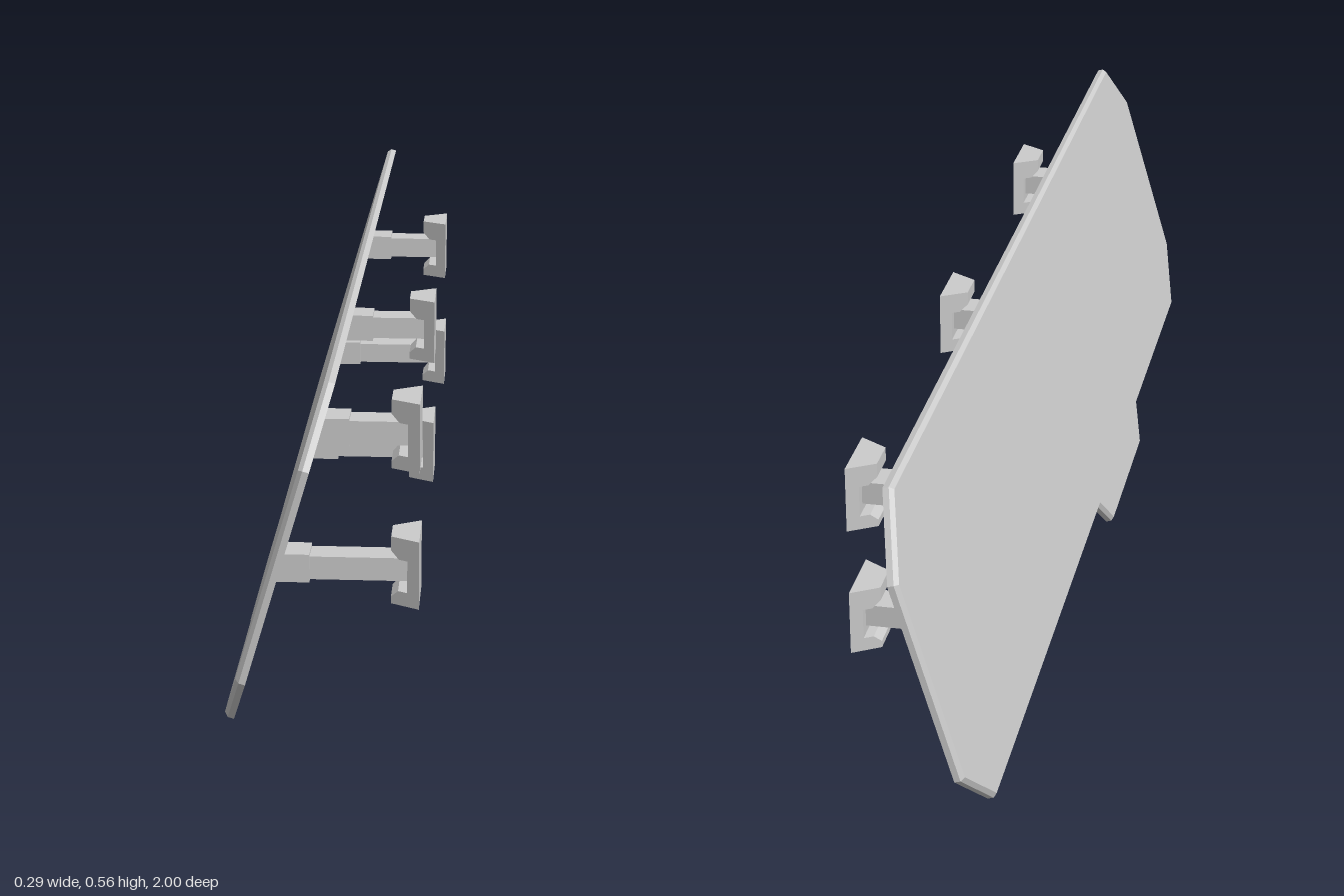
import * as THREE from 'three';

const material = new THREE.MeshStandardMaterial({ color: 0xcccccc, flatShading: true });
const TILT = Math.atan(0.292);

function box(name, x0, x1, height, width) {
  const mesh = new THREE.Mesh(new THREE.BoxGeometry(x1 - x0, height, width), material);
  mesh.position.x = (x0 + x1) / 2;
  mesh.name = name;
  return mesh;
}

// Leaning panel: clipped corners, off-centre tab below, chamfer on the outer face only
function makePanel() {
  const outline = [
    [0.9, 0.057], [1, 0.15], [1, 0.463], [0.9, 0.563],
    [-0.9, 0.563], [-1, 0.463], [-1, 0.15], [-0.9, 0.057],
    [0.01, 0.057], [0.065, 0], [0.375, 0], [0.427, 0.057],
  ];
  const stretch = 0.581 / 0.563;
  const shape = new THREE.Shape(outline.map(([z, y]) => new THREE.Vector2(-z, y * stretch)));
  const chamfer = 0.006, depth = 0.0095;
  const geometry = new THREE.ExtrudeGeometry(shape, {
    depth, bevelEnabled: true, bevelThickness: chamfer, bevelSize: chamfer,
    bevelOffset: -chamfer, bevelSegments: 1,
  });
  // flatten the chamfer on the bracket side
  const p = geometry.attributes.position;
  for (let i = 0; i < p.count; i++) p.setZ(i, Math.min(p.getZ(i), depth) + chamfer);
  geometry.rotateY(Math.PI / 2);
  geometry.rotateZ(-TILT);
  geometry.computeVertexNormals();
  const panel = new THREE.Mesh(geometry, material);
  panel.position.set(-0.145, 0.0045, 0);
  panel.name = 'panel';
  return panel;
}

// Clamp head: C-shaped profile whose width flares toward the mounting face
function makeHead() {
  const profile = [
    [0.1, -0.053], [0.143, -0.053], [0.143, 0.053], [0.1, 0.053],
    [0.1, 0.031], [0.112, 0.019], [0.125, 0.019],
    [0.125, -0.031], [0.111, -0.031], [0.1, -0.042],
  ];
  const shape = new THREE.Shape(profile.map(([x, y]) => new THREE.Vector2(x, y)));
  const geometry = new THREE.ExtrudeGeometry(shape, { depth: 2, bevelEnabled: false });
  geometry.translate(0, 0, -1);
  const p = geometry.attributes.position;
  for (let i = 0; i < p.count; i++) {
    const half = THREE.MathUtils.mapLinear(p.getX(i), 0.1, 0.143, 0.027, 0.053);
    p.setZ(i, p.getZ(i) * half);
  }
  geometry.computeVertexNormals();
  const head = new THREE.Mesh(geometry, material);
  head.name = 'clampHead';
  return head;
}

// Bracket: thick socket on the panel, slimmer arm, clamp head
function makeBracket(y, z, socketEnd) {
  const bracket = new THREE.Group();
  bracket.name = 'bracket';
  bracket.add(
    box('socket', -0.136 + 0.292 * y, socketEnd, 0.044, 0.058),
    box('arm', socketEnd - 0.01, 0.128, 0.036, 0.05),
    makeHead(),
  );
  bracket.position.set(0, y, z);
  return bracket;
}

export function createModel() {
  const model = new THREE.Group();
  model.name = 'mountedPanel';
  model.add(makePanel());
  for (const z of [-0.642, 0, 0.638]) {
    model.add(makeBracket(0.418, z, 0.037), makeBracket(0.205, z, -0.023));
  }
  return model;
}
